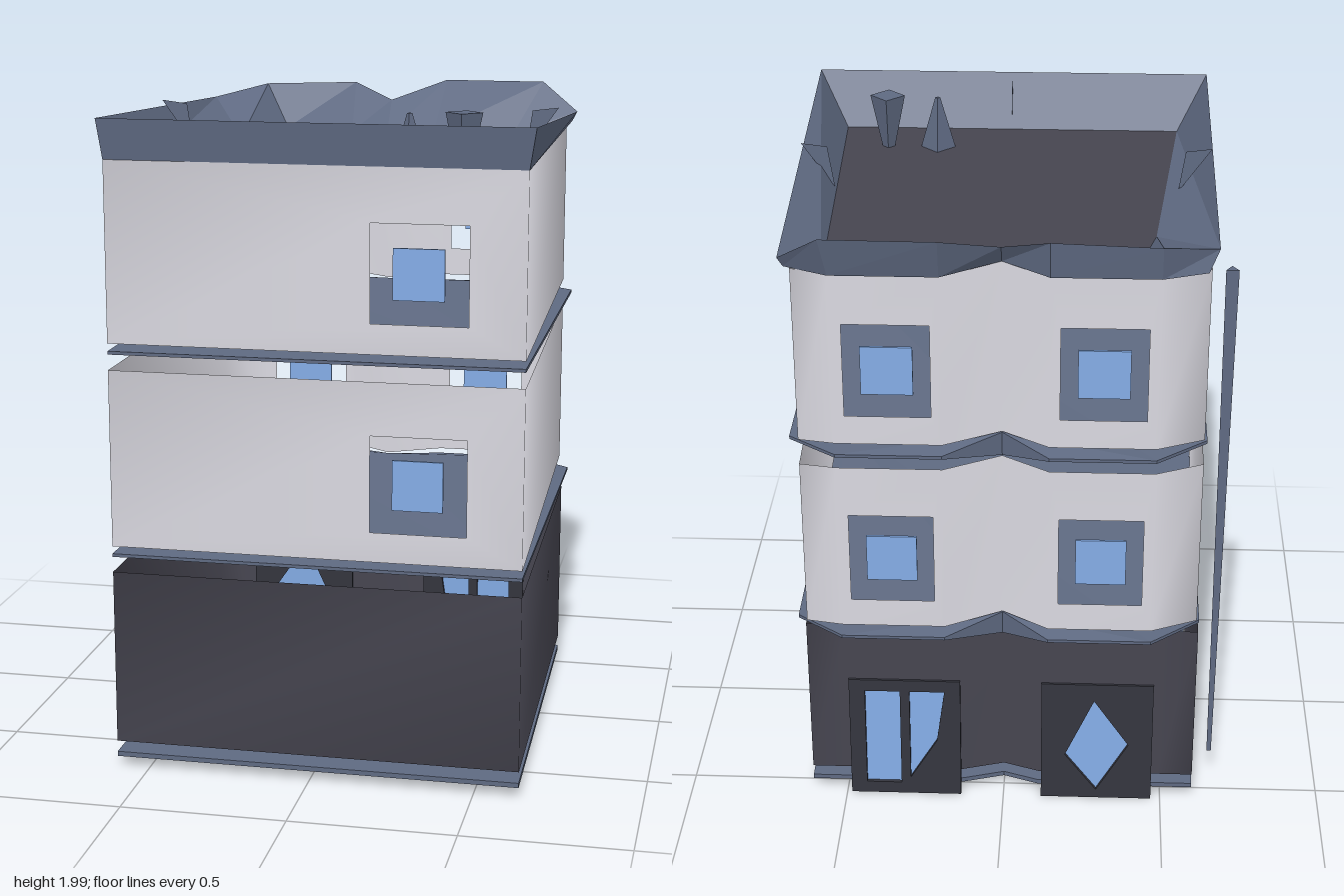
import * as THREE from 'three';
import { mergeGeometries, toCreasedNormals } from 'three/addons/utils/BufferGeometryUtils.js';

// Plan outlines as [x, z], starting front left and running past the front right corner to the back
const STOREY = [[-0.6, 0.7], [0.635, 0.7], [0.59, -0.645], [0.48, -0.665], [0.17, -0.665], [0, -0.57], [-0.14, -0.665], [-0.45, -0.665], [-0.59, -0.6]];
const GROUND = [[-0.6, 0.7], [0.635, 0.7], [0.61, -0.54], [0.49, -0.54], [0.13, -0.54], [0, -0.5], [-0.11, -0.54], [-0.49, -0.54], [-0.6, -0.54]];
const LEDGE = [[0.635, 0.7], [0.625, -0.58], [0.48, -0.69], [0.17, -0.69], [0, -0.57], [-0.14, -0.69], [-0.45, -0.69], [-0.6, -0.56], [-0.6, 0.7]];
const EAVES = [[-0.6, 0.7], [0.635, 0.7], [0.61, -0.63], [0.48, -0.69], [0.17, -0.69], [0, -0.57], [-0.14, -0.68], [-0.45, -0.68], [-0.58, -0.63]];
const ROOF = [[-0.52, 0.61], [0.56, 0.61], [0.51, -0.58], [0.42, -0.57], [0.16, -0.51], [0.01, -0.47], [-0.12, -0.53], [-0.36, -0.61], [-0.44, -0.28]];
// Uneven parapet rim as [x, y, z], dropping at the back corners and the notch
const RIM = [[-0.615, 1.98, 0.715], [0.655, 1.98, 0.715], [0.625, 1.89, -0.64], [0.5, 1.98, -0.72], [0.17, 1.98, -0.725], [0, 1.92, -0.61], [-0.14, 1.97, -0.695], [-0.45, 1.96, -0.695], [-0.61, 1.92, -0.6]];

const material = (name, color) => {
  const m = new THREE.MeshStandardMaterial({ color, side: THREE.DoubleSide });
  m.name = name;
  return m;
};

const toPoints = (list) => list.map(([x, y]) => new THREE.Vector2(x, y));
const rect = (P, x0, y0, x1, y1) => new P(toPoints([[x0, y0], [x1, y0], [x1, y1], [x0, y1]]));
const planShape = (outline) => new THREE.Shape(toPoints(outline.map(([x, z]) => [x, -z])));

// Upright wall panel from a to b, with an optional opening [u0, y0, u1, y1]
function panel(a, b, y0, y1, opening) {
  const dx = b[0] - a[0], dz = b[1] - a[1];
  const shape = rect(THREE.Shape, 0, y0, Math.hypot(dx, dz), y1);
  if (opening) shape.holes.push(rect(THREE.Path, ...opening));
  return new THREE.ShapeGeometry(shape).rotateY(-Math.atan2(dz, dx)).translate(a[0], 0, a[1]);
}

// Open ring of wall panels, softly shaded around the corners; openings are keyed by panel index
function walls(outline, y0, y1, openings) {
  const panels = outline.map((a, i) => panel(a, outline[(i + 1) % outline.length], y0, y1, openings[i]));
  return toCreasedNormals(mergeGeometries(panels), 1.75);
}

// Thin floor plate, thickened at the notch in its back edge
function plate(outline, y, thickness, up, down) {
  const g = new THREE.ExtrudeGeometry(planShape(outline), { depth: thickness, bevelEnabled: false }).rotateX(-Math.PI / 2);
  const p = g.attributes.position;
  for (let i = 0; i < p.count; i++) {
    if (Math.abs(p.getX(i)) < 0.05) p.setY(i, p.getY(i) > thickness / 2 ? thickness + up : -down);
  }
  g.translate(0, y, 0).computeVertexNormals();
  return g;
}

// Geometry from a flat list of triangle corners
function triangles(v) {
  const g = new THREE.BufferGeometry();
  g.setAttribute('position', new THREE.Float32BufferAttribute(v, 3));
  g.computeVertexNormals();
  return g;
}

// Band of quads joining two loops of [x, y, z] points
function band(lower, upper) {
  const v = [];
  lower.forEach((a, i) => {
    const j = (i + 1) % lower.length, b = lower[j], c = upper[j], d = upper[i];
    v.push(...a, ...b, ...c, ...a, ...c, ...d);
  });
  return triangles(v);
}

export function createModel() {
  const model = new THREE.Group();
  model.name = 'building';
  const plaster = material('pale plaster', 0xdad9e1);
  const slate = material('slate blue trim', 0x5f6a82);
  const dark = material('dark stone', 0x464550);
  const frame = material('dark door frame', 0x34353e);
  const glass = material('blue glass', 0x84ace6);
  const add = (name, geometry, mat, parent = model) => {
    const mesh = new THREE.Mesh(geometry, mat);
    mesh.name = name;
    parent.add(mesh);
    return mesh;
  };

  // Ground floor and base
  add('basePlate', plate(GROUND, 0.03, 0.015, 0, 0), slate);
  add('groundFloorWalls', walls(GROUND, 0.08, 0.62, { 3: [0.03, 0.085, 0.33, 0.4], 6: [0.04, 0.085, 0.34, 0.4] }), dark);

  // Two upper storeys, each on a ledge plate
  [0.7, 1.32].forEach((y, n) => {
    const storey = new THREE.Group();
    storey.name = n ? 'secondStorey' : 'firstStorey';
    model.add(storey);
    const lo = y + 0.09, hi = y + 0.38, back = [0.03, lo, 0.28, hi];
    add('ledge', plate(LEDGE, y - 0.033, 0.01, 0.02, 0.045), slate, storey);
    add('walls', walls(STOREY, y, y + 0.54, { 0: [0.785, lo, 1.07, hi], 3: back, 6: back }), plaster, storey);
    for (const [x, z] of [[0.325, 0.695], [0.325, -0.66], [-0.295, -0.66]]) {
      add('windowPane', new THREE.BoxGeometry(0.15, 0.15, 0.008), glass, storey).position.set(x, y + 0.235, z);
    }
  });

  // Flared parapet sloping inward to the sunken roof
  const at = (outline, y) => outline.map(([x, z]) => [x, y, z]);
  add('parapetOuter', band(at(EAVES, 1.86), RIM), slate);
  add('parapetInner', band(RIM, at(ROOF, 1.82)), slate);
  add('roof', new THREE.ShapeGeometry(planShape(ROOF)).rotateX(-Math.PI / 2).translate(0, 1.82, 0), dark);

  // Small fins halfway along the front and side slopes
  for (const [x, z, turn] of [[0.02, 0.7, Math.PI / 2], [0.64, 0.05, Math.PI], [-0.61, 0.05, 0]]) {
    const fin = add('parapetFin', triangles([0, 1.97, 0, 0.1, 1.83, 0, 0.08, 1.96, 0]), slate);
    fin.position.set(x, 0, z);
    fin.rotation.y = turn;
  }

  // Small tapered roof vents
  for (const [x, top, upper, lower] of [[0.25, 1.985, 0.008, 0.055], [0.41, 1.99, 0.055, 0.02]]) {
    const vent = add('roofVent', new THREE.CylinderGeometry(upper, lower, top - 1.82, 4).toNonIndexed(), slate);
    vent.geometry.computeVertexNormals();
    vent.position.set(x, (top + 1.82) / 2, 0.44);
  }

  // Two back doors: dark surrounds with glazed openings
  const doors = [
    [0.31, [[[0.015, 0.04], [0.125, 0.04], [0.125, 0.38], [0.015, 0.38]], [[-0.015, 0.06], [-0.015, 0.38], [-0.125, 0.38], [-0.1, 0.2]]]],
    [-0.295, [[[0, 0.03], [0.1, 0.16], [0.01, 0.36], [-0.1, 0.2]]]],
  ];
  for (const [x, panes] of doors) {
    const door = new THREE.Group();
    door.name = 'door';
    door.position.set(x, 0, -0.565);
    door.rotation.x = 0.04;
    model.add(door);
    const surround = rect(THREE.Shape, -0.175, 0, 0.175, 0.42);
    for (const pane of panes) {
      surround.holes.push(new THREE.Path(toPoints(pane)));
      add('doorGlass', new THREE.ShapeGeometry(new THREE.Shape(toPoints(pane))).translate(0, 0, 0.012), glass, door);
    }
    add('doorSurround', new THREE.ExtrudeGeometry(surround, { depth: 0.025, bevelEnabled: false }), frame, door);
  }

  // Tapering drainpipe beside the back corner
  const pipe = add('drainpipe', new THREE.CylinderGeometry(0.022, 0.008, 1.68, 3).toNonIndexed(), slate);
  pipe.geometry.computeVertexNormals();
  pipe.position.set(-0.655, 0.96, -0.46);

  return model;
}
